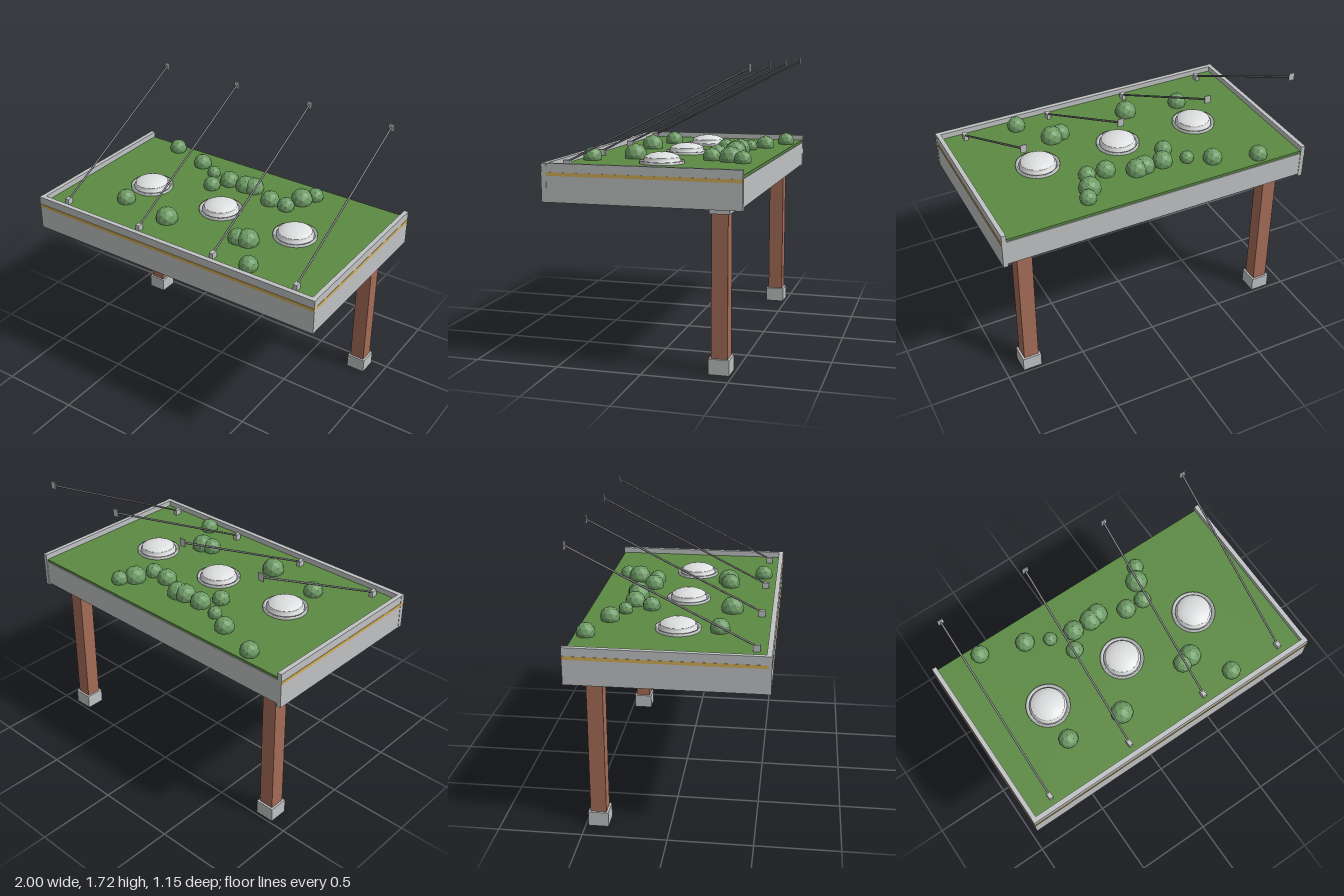
import * as THREE from 'three';

export function createModel() {
  const model = new THREE.Group();
  const mat = (name, color, opts = {}) => new THREE.MeshStandardMaterial({ name, color, ...opts });
  const concrete = mat('concrete grey', 0xc0c2c3);
  const brick = mat('brick brown', 0xa56d58);
  const grass = mat('grass green', 0x5c8a42);
  const leaf = mat('leaf green', 0x6f9c66, { flatShading: true });
  const gold = mat('gold', 0xd2ae58);
  const steel = mat('steel grey', 0x77777b);
  const glass = mat('pale glass', 0xdedfe0);
  const white = mat('white lining', 0xf4f4f4, { side: THREE.DoubleSide });
  const bronze = mat('lamp bronze', 0x8a6a3a);

  const add = (name, geo, material, x = 0, y = 0, z = 0, parent = model) => {
    const m = new THREE.Mesh(geo, material);
    m.name = name;
    m.position.set(x, y, z);
    parent.add(m);
    return m;
  };
  // Box given by its lower and upper corners
  const box = (name, material, x0, x1, y0, y1, z0, z1, parent = model) =>
    add(name, new THREE.BoxGeometry(x1 - x0, y1 - y0, z1 - z0), material,
      (x0 + x1) / 2, (y0 + y1) / 2, (z0 + z1) / 2, parent);

  // Roof slab layers, pierced by the three skylight shafts
  const skyX = [-0.54, 0, 0.54], skyZ = 0.01, shaftR = 0.112;
  const slab = (name, material, y0, y1, zBack) => {
    const s = new THREE.Shape();
    s.moveTo(-0.972, -0.545).lineTo(0.972, -0.545).lineTo(0.972, -zBack).lineTo(-0.972, -zBack).closePath();
    for (const x of skyX) s.holes.push(new THREE.Path().absarc(x, -skyZ, shaftR, 0, Math.PI * 2, true));
    const g = new THREE.ExtrudeGeometry(s, { depth: y1 - y0, bevelEnabled: false, curveSegments: 16 });
    add(name, g.rotateX(-Math.PI / 2), material, 0, y0, 0);
  };
  slab('ceilingSlab', concrete, 0.975, 1.115, -0.56);
  slab('lawn', grass, 1.115, 1.135, -0.567);

  // Fascia walls: tall on the front and sides, low at the back
  box('frontFascia', concrete, -1, 1, 0.95, 1.17, 0.542, 0.572);
  box('backFascia', concrete, -0.972, 0.972, 0.965, 1.12, -0.572, -0.545);
  box('frontStripe', gold, -1, 1, 1.1, 1.12, 0.572, 0.575);
  for (const s of [-1, 1]) {
    const inner = s * 0.97, outer = s * 0.998;
    box('sideFascia', concrete, Math.min(inner, outer), Math.max(inner, outer), 0.95, 1.17, -0.575, 0.542);
    box('sideStripe', gold, s * 0.999 - 0.001, s * 0.999 + 0.001, 1.1, 1.12, -0.575, 0.574);
  }

  // Columns with concrete feet and capitals
  for (const s of [-1, 1]) {
    const column = new THREE.Group();
    column.name = 'column';
    column.position.set(s * 0.835, 0, -0.423);
    model.add(column);
    box('columnFoot', concrete, -0.06, 0.06, 0, 0.09, -0.06, 0.06, column);
    box('columnShaft', brick, -0.047, 0.047, 0.09, 0.91, -0.047, 0.047, column);
    box('columnCapital', concrete, -0.058, 0.058, 0.91, 0.976, -0.058, 0.058, column);
  }

  // Skylights: curb ring, shallow dome and white shaft lining
  const lathe = pts => new THREE.LatheGeometry(pts.map(p => new THREE.Vector2(...p)), 32);
  const curb = lathe([[0.135, 1.13], [0.135, 1.15], [0.123, 1.15], [0.118, 1.137], [0.1, 1.137]]);
  const drum = lathe([[0.114, 1.135], [0.114, 1.152], [0.104, 1.156], [0.104, 1.172]]);
  const dome = lathe([[0.104, 1.172], [0.09, 1.181], [0.068, 1.191], [0.036, 1.198], [0, 1.2]]);
  const lining = new THREE.CylinderGeometry(shaftR - 0.002, shaftR - 0.002, 0.17, 32, 1, true);
  const diffuser = new THREE.CircleGeometry(shaftR - 0.002, 32).rotateX(Math.PI / 2);
  for (const x of skyX) {
    const sky = new THREE.Group();
    sky.name = 'skylight';
    sky.position.set(x, 0, skyZ);
    model.add(sky);
    add('skylightCurb', curb, concrete, 0, 0, 0, sky);
    add('skylightDrum', drum, glass, 0, 0, 0, sky);
    add('skylightDome', dome, glass, 0, 0, 0, sky);
    add('shaftLining', lining, white, 0, 1.06, 0, sky);
    add('shaftDiffuser', diffuser, white, 0, 1.14, 0, sky);
  }

  // Shrubs: x, z, radius
  const shrubs = [
    [-0.705, -0.5, 0.057], [-0.435, -0.41, 0.06], [-0.295, -0.34, 0.044], [-0.145, -0.305, 0.064],
    [-0.21, -0.195, 0.055], [-0.02, -0.305, 0.068], [0.035, -0.315, 0.067], [0.205, -0.24, 0.062],
    [0.325, -0.235, 0.055], [0.365, -0.36, 0.07], [0.415, -0.445, 0.053], [-0.555, 0.255, 0.06],
    [-0.2, 0.3, 0.07], [0.285, 0.25, 0.06], [0.35, 0.235, 0.07], [0.5, 0.457, 0.058],
  ];
  for (const [x, z, r] of shrubs) add('shrub', new THREE.IcosahedronGeometry(r, 1), leaf, x, 1.155, z);

  // Tie rods rising from deck anchors to wall plates
  const low = new THREE.Vector3(0, 1.165, 0.475), high = new THREE.Vector3(0, 1.697, -0.568);
  const span = high.clone().sub(low);
  const rodGeo = new THREE.CylinderGeometry(0.006, 0.006, span.length(), 10);
  for (const x of [-0.835, -0.272, 0.27, 0.833]) {
    const rod = add('tieRod', rodGeo, steel, x, (low.y + high.y) / 2, (low.z + high.z) / 2);
    rod.quaternion.setFromUnitVectors(new THREE.Vector3(0, 1, 0), span.clone().normalize());
    box('rodAnchor', concrete, x - 0.013, x + 0.013, 1.13, 1.172, 0.46, 0.502);
    box('wallPlate', concrete, x - 0.018, x + 0.018, 1.675, 1.721, -0.573, -0.567);
  }

  // Ceiling lamps
  const lampGeo = new THREE.CylinderGeometry(0.013, 0.013, 0.006, 12);
  for (const [x, z] of [[0.74, 0.4], [0.26, 0.03], [0.25, -0.33]])
    for (const s of [-1, 1]) add('ceilingLamp', lampGeo, bronze, s * x, 0.973, z);

  return model;
}
